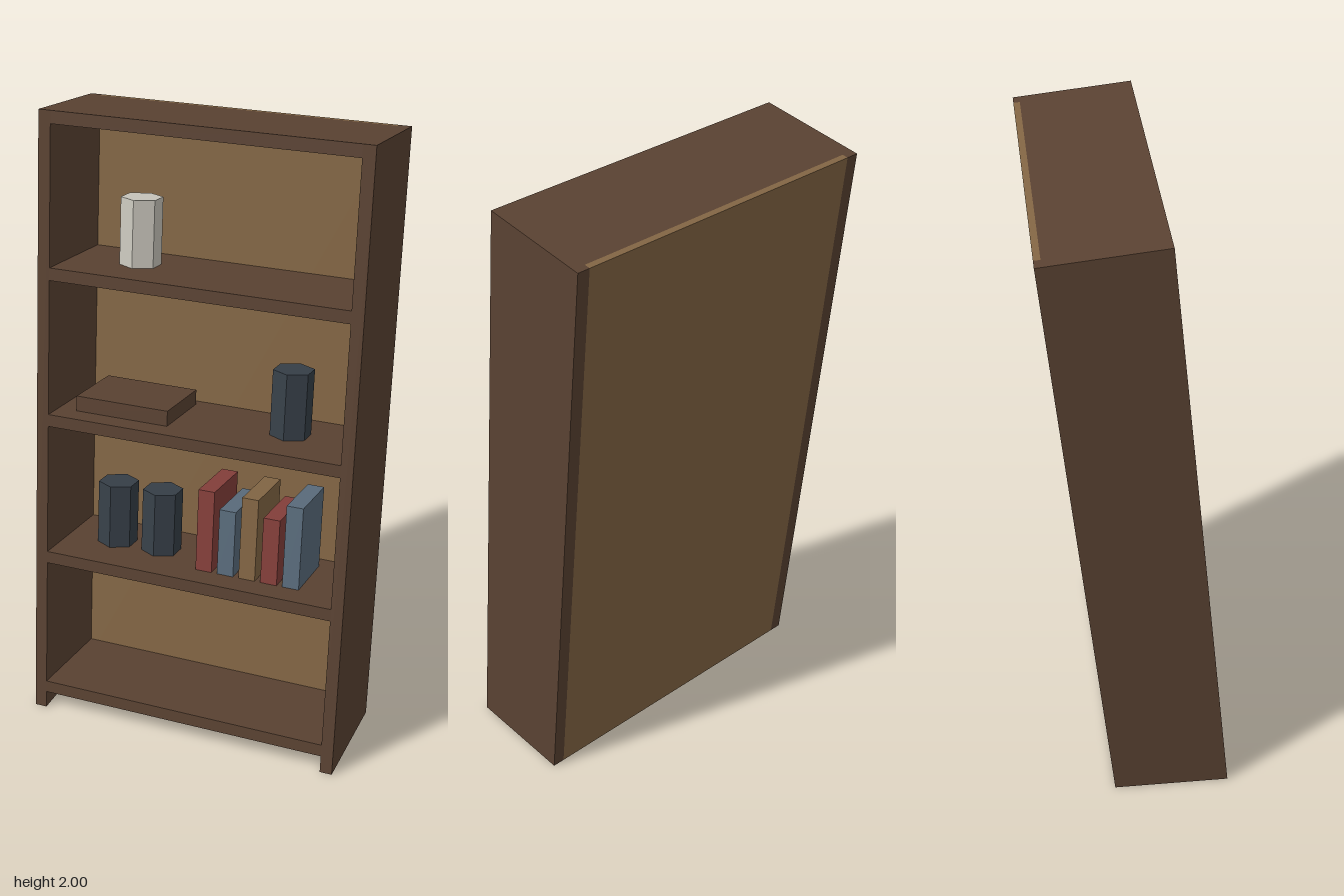
import * as THREE from 'three';

export function createModel() {
  const mat = (name, color) => {
    const m = new THREE.MeshStandardMaterial({ color });
    m.name = name;
    return m;
  };
  const wood = mat('dark wood', 0x5a4232);
  const tan = mat('light wood', 0x836644);
  const red = mat('red cover', 0x853f3b);
  const blue = mat('blue cover', 0x5a6c7c);
  const navy = mat('dark slate', 0x363f48);
  const white = mat('off white', 0xc9c6bc);

  const lean = THREE.MathUtils.degToRad(6);
  const W = 0.527, T = 0.04, D = 0.368, H = 2.011, backT = 0.02;
  const inner = W - T;
  const backFoot = D * Math.tan(lean); // the foot is cut level with the floor

  // Leaning case: front plane at local z = 0, depth runs to -D
  const shelfUnit = new THREE.Group();
  shelfUnit.name = 'leaningBookcase';
  shelfUnit.rotation.x = -lean;
  shelfUnit.position.z = 0.288;

  const add = (name, geometry, material, x, y, z) => {
    const mesh = new THREE.Mesh(geometry, material);
    mesh.name = name;
    mesh.position.set(x, y, z);
    shelfUnit.add(mesh);
    return mesh;
  };
  // Box placed by its bottom centre
  const box = (name, material, w, h, d, x, y, z) =>
    add(name, new THREE.BoxGeometry(w, h, d), material, x, y + h / 2, z);

  // Extrudes a (depth, height) profile across x, starting at x0
  const acrossX = (name, material, points, x0, width) => {
    const shape = new THREE.Shape(points.map(([d, y]) => new THREE.Vector2(d, y)));
    const geometry = new THREE.ExtrudeGeometry(shape, { depth: width, bevelEnabled: false });
    geometry.rotateY(Math.PI / 2);
    return add(name, geometry, material, x0, 0, 0);
  };

  // Side panels with level feet
  const side = [[0, 0], [D, backFoot], [D, H], [0, H]];
  acrossX('leftSide', wood, side, inner, T);
  acrossX('rightSide', wood, side, -W, T);

  // Back panel
  const d0 = D - backT;
  acrossX('backPanel', tan,
    [[d0, d0 * Math.tan(lean)], [D, backFoot], [D, H], [d0, H]], -inner, inner * 2);

  // Shelves and top board
  const shelfTops = [0.097, 0.573, 1.048, 1.527];
  [...shelfTops, H].forEach((top, i) =>
    box(i < 4 ? 'shelf' + (i + 1) : 'topBoard', wood, inner * 2, T, d0, 0, top - T, -d0 / 2));

  // Six-sided jars
  const jar = (name, material, x, shelf) => {
    const h = 0.214;
    const g = new THREE.CylinderGeometry(0.066, 0.066, h, 6).toNonIndexed();
    g.computeVertexNormals();
    add(name, g, material, x, shelfTops[shelf] + h / 2, -0.187);
  };
  jar('whiteJar', white, -0.263, 3);
  jar('darkJarUpper', navy, 0.262, 2);
  jar('darkJarLeft', navy, -0.32, 1);
  jar('darkJarRight', navy, -0.162, 1);

  // Flat box on the second shelf down
  box('flatBox', wood, 0.315, 0.05, 0.24, -0.267, shelfTops[2], -0.195);

  // Row of upright books
  [red, blue, tan, red, blue].forEach((material, i) =>
    box('book' + (i + 1), material, 0.055, i % 2 ? 0.222 : 0.277, 0.205,
      0.028 + i * 0.074, shelfTops[1], -0.19));

  const model = new THREE.Group();
  model.name = 'bookcase';
  model.add(shelfUnit);
  return model;
}
